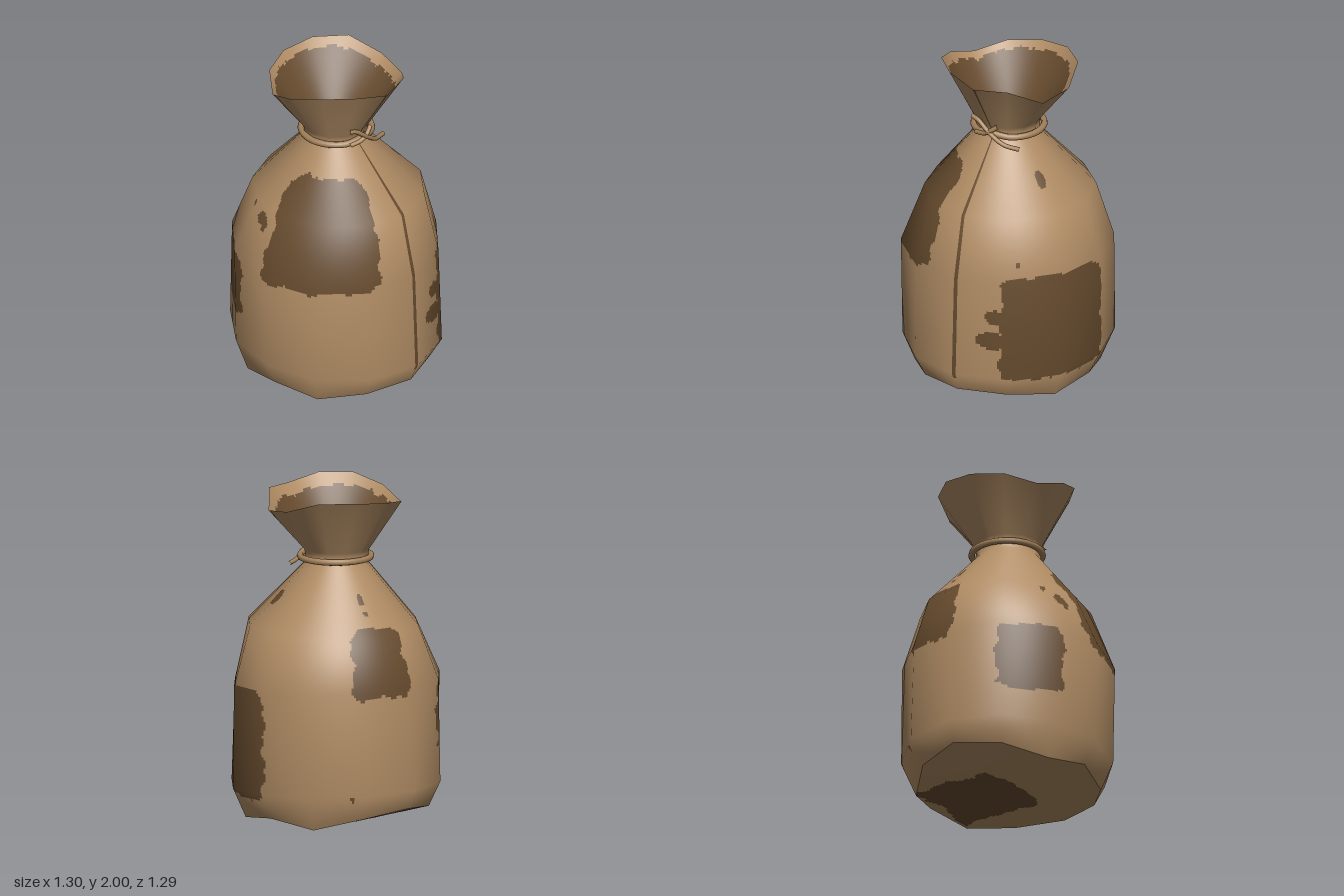
import * as THREE from 'three';

const SIDES = 12, SUB = 25, COLS = SIDES * SUB, ROW = 0.0165;
const cloth = new THREE.MeshStandardMaterial({ name: 'sackcloth', color: 0xb08c64 });
const stain = new THREE.MeshStandardMaterial({ name: 'dark patch cloth', color: 0x664b2e });
const cord = new THREE.MeshStandardMaterial({ name: 'cord', color: 0xa5825a });

// heights and radii at the twelve corners, running from +x towards +z
const rimY = [1.955, 2, 2, 1.945, 1.88, 1.925, 1.95, 1.97, 1.97, 1.9, 1.87, 1.965];
const baseR = [0.6, 0.57, 0.555, 0.55, 0.555, 0.57, 0.59, 0.57, 0.555, 0.565, 0.565, 0.57];

// the base sags along two folds that run front to back: [x, y]
const folds = [[-0.6, 0.11], [-0.5, 0.07], [-0.28, 0], [0.06, 0.055], [0.28, 0], [0.6, 0.05]];
function foldY(x) {
  let i = 0;
  while (i < folds.length - 2 && x > folds[i + 1][0]) i++;
  const [[x0, y0], [x1, y1]] = [folds[i], folds[i + 1]];
  return y0 + ((x - x0) / (x1 - x0)) * (y1 - y0);
}

// a ring of twelve corners; radius and height are functions of (angle, index)
const ring = (r, y) => Array.from({ length: SIDES }, (_, i) => {
  const a = (i / SIDES) * Math.PI * 2;
  const R = r(a, i);
  return new THREE.Vector3(R * Math.cos(a), y(a, i), R * Math.sin(a));
});
const flat = (r, y) => ring(() => r, () => y);
const baseRing = (f) => ring((a, i) => f * baseR[i], (a, i) => foldY(f * baseR[i] * Math.cos(a)));

// finely divided skin over the coarse rings, split in two materials by isDark
function skin(name, rings, isDark) {
  const last = rings.length - 1;
  const normals = rings.map((pts, k) => pts.map((p, j) => {
    const along = rings[Math.min(k + 1, last)][j].clone().sub(rings[Math.max(k - 1, 0)][j]);
    if (Math.hypot(p.x, p.z) < 1e-4) return new THREE.Vector3(0, k === 0 ? -1 : 1, 0);
    const around = pts[(j + 1) % SIDES].clone().sub(pts[(j + SIDES - 1) % SIDES]);
    return along.cross(around).normalize();
  }));
  const mix = (grid, k, t, j, s) => {
    const n = (j + 1) % SIDES, m = Math.min(k + 1, last);
    const low = grid[k][j].clone().lerp(grid[k][n], s);
    return low.lerp(grid[m][j].clone().lerp(grid[m][n], s), t);
  };
  const levels = [];
  for (let k = 0; k < last; k++) {
    const steps = Math.max(2, Math.round(rings[k][0].distanceTo(rings[k + 1][0]) / ROW));
    for (let i = 0; i < steps; i++) levels.push([k, i / steps]);
  }
  levels.push([last, 0]);

  const pos = [], nor = [], light = [], dark = [];
  for (const [k, t] of levels) {
    for (let c = 0; c <= COLS; c++) {
      const j = Math.floor(c / SUB) % SIDES, s = (c % SUB) / SUB;
      pos.push(...mix(rings, k, t, j, s).toArray());
      nor.push(...mix(normals, k, t, j, s).normalize().toArray());
    }
  }
  for (let l = 0; l < levels.length - 1; l++) {
    for (let c = 0; c < COLS; c++) {
      const A = l * (COLS + 1) + c, B = A + COLS + 1, C = B + 1, D = A + 1;
      const mid = (q) => (pos[A * 3 + q] + pos[C * 3 + q]) / 2;
      (isDark(mid(0), mid(1), mid(2), ((c + 0.5) * 360) / COLS) ? dark : light).push(A, B, C, A, C, D);
    }
  }
  const g = new THREE.BufferGeometry();
  g.setAttribute('position', new THREE.Float32BufferAttribute(pos, 3));
  g.setAttribute('normal', new THREE.Float32BufferAttribute(nor, 3));
  g.setIndex([...light, ...dark]);
  g.addGroup(0, light.length, 0);
  g.addGroup(light.length, dark.length, 1);
  const mesh = new THREE.Mesh(g, [cloth, stain]);
  mesh.name = name;
  return mesh;
}

// frayed edge offset, about -1 to 1
const fray = (u, seed) => 0.6 * Math.sin(u * 23 + seed) + 0.4 * Math.sin(u * 57 + seed * 2.3);

// patches: [from angle, to angle, low y, high y, widening of the far edge towards the top]
const patches = [
  [21, 95, 0.77, 1.39, 25],
  [114, 153, 0.41, 0.835, 0],
  [180, 216, 0.81, 1.21, 0],
  [269, 334, 0.15, 0.82, 0],
];
// small worn spots: [angle, y, half angle, half height]
const spots = [
  [109, 1.09, 4.5, 0.035], [105, 1.065, 2.5, 0.04], [122, 1.14, 2, 0.02],
  [298, 1.34, 5, 0.045], [201, 1.36, 3.5, 0.03], [200, 1.29, 2.5, 0.015],
  [324, 0.9, 1.5, 0.018], [217, 0.2, 1.5, 0.015],
  [337, 0.56, 6, 0.05], [339, 0.41, 9, 0.055],
];

function bodyIsDark(x, y, z, a) {
  // side seam
  if (y > 0.13 && (a < 1.2 || a > 358.8)) return true;
  const inPatch = patches.some(([a0, a1, y0, y1, widen], i) => {
    const u = (a * Math.PI) / 180 * 0.6;
    const corner = Math.max(0, Math.abs((a - (a0 + a1) / 2) / (a1 - a0)) - 0.38) * 0.3;
    return a > a0 + 2 * fray(y, i) && a < a1 + 2 * fray(y, i + 5) + widen * Math.max(0, y - 1.1)
      && y > y0 + 0.015 * fray(u, i + 2) + corner * 0.8 && y < y1 + 0.012 * fray(u, i + 7) - corner;
  });
  return inPatch || spots.some(([sa, sy, da, dy]) => ((a - sa) / da) ** 2 + ((y - sy) / dy) ** 2 < 1);
}

// square patch under the base
const baseIsDark = (x, y, z) =>
  Math.abs(x + 0.02) < 0.27 + 0.015 * fray(z, 1) && Math.abs(z + 0.22) < 0.27 + 0.015 * fray(x, 4);

// shadow-coloured lining inside a pale hem
const liningIsDark = (x, y, z, a) =>
  Math.hypot(x, z) < 0.36 + 0.012 * Math.cos(((a - 230) * Math.PI) / 180) + 0.005 * fray(a / 60, 2);

function tube(name, points, radius, closed = false) {
  const curve = new THREE.CatmullRomCurve3(points.map((p) => new THREE.Vector3(...p)), closed);
  const mesh = new THREE.Mesh(new THREE.TubeGeometry(curve, closed ? 72 : 28, radius, 8, closed), cord);
  mesh.name = name;
  return mesh;
}

export function createModel() {
  const sack = new THREE.Group();
  sack.name = 'tiedSack';

  // folded underside
  sack.add(skin('sackBase', [0, 0.25, 0.5, 0.75, 1].map(baseRing), baseIsDark));

  // outer cloth from the base edge up to the rim
  const rim = ring((a) => 0.41 - 0.015 * Math.sin(a), (a, i) => rimY[i]);
  sack.add(skin('sackBody', [
    baseRing(1),
    ring((a) => 0.632 + 0.018 * Math.cos(a) ** 2 - 0.009 * Math.sin(a), (a) => 0.195 - 0.03 * Math.cos(a)),
    ring((a) => 0.643 - 0.018 * Math.cos(a) ** 2, (a) => 0.815 - 0.035 * Math.cos(a)),
    ring((a) => 0.508 - 0.025 * Math.sin(a) + 0.022 * Math.cos(a) ** 2 + 0.008 * Math.cos(a), () => 1.17),
    flat(0.19, 1.535),
    flat(0.2, 1.62),
    rim,
  ], bodyIsDark));

  // inside of the open mouth
  sack.add(skin('mouthLining', [rim, flat(0.18, 1.645), flat(0, 1.58)], liningIsDark));

  // cord round the neck, rising slightly where it is knotted
  const loop = [];
  for (let i = 0; i < 24; i++) {
    const a = (i / 24) * Math.PI * 2;
    const lift = 0.02 * Math.exp(-((Math.atan2(Math.sin(a), Math.cos(a)) / 0.35) ** 2));
    loop.push([0.212 * Math.cos(a), 1.572 + lift, 0.212 * Math.sin(a) - 0.01]);
  }
  sack.add(tube('neckCord', loop, 0.02, true));

  // knot and loose ends
  sack.add(tube('cordEndLow', [[0.215, 1.675, 0.12], [0.225, 1.66, 0.07], [0.235, 1.615, 0.01],
    [0.235, 1.57, -0.05], [0.225, 1.535, -0.11], [0.205, 1.52, -0.2]], 0.014));
  sack.add(tube('cordEndHigh', [[0.205, 1.57, 0.1], [0.23, 1.585, 0.03],
    [0.235, 1.615, -0.02], [0.225, 1.645, -0.06]], 0.014));
  return sack;
}
